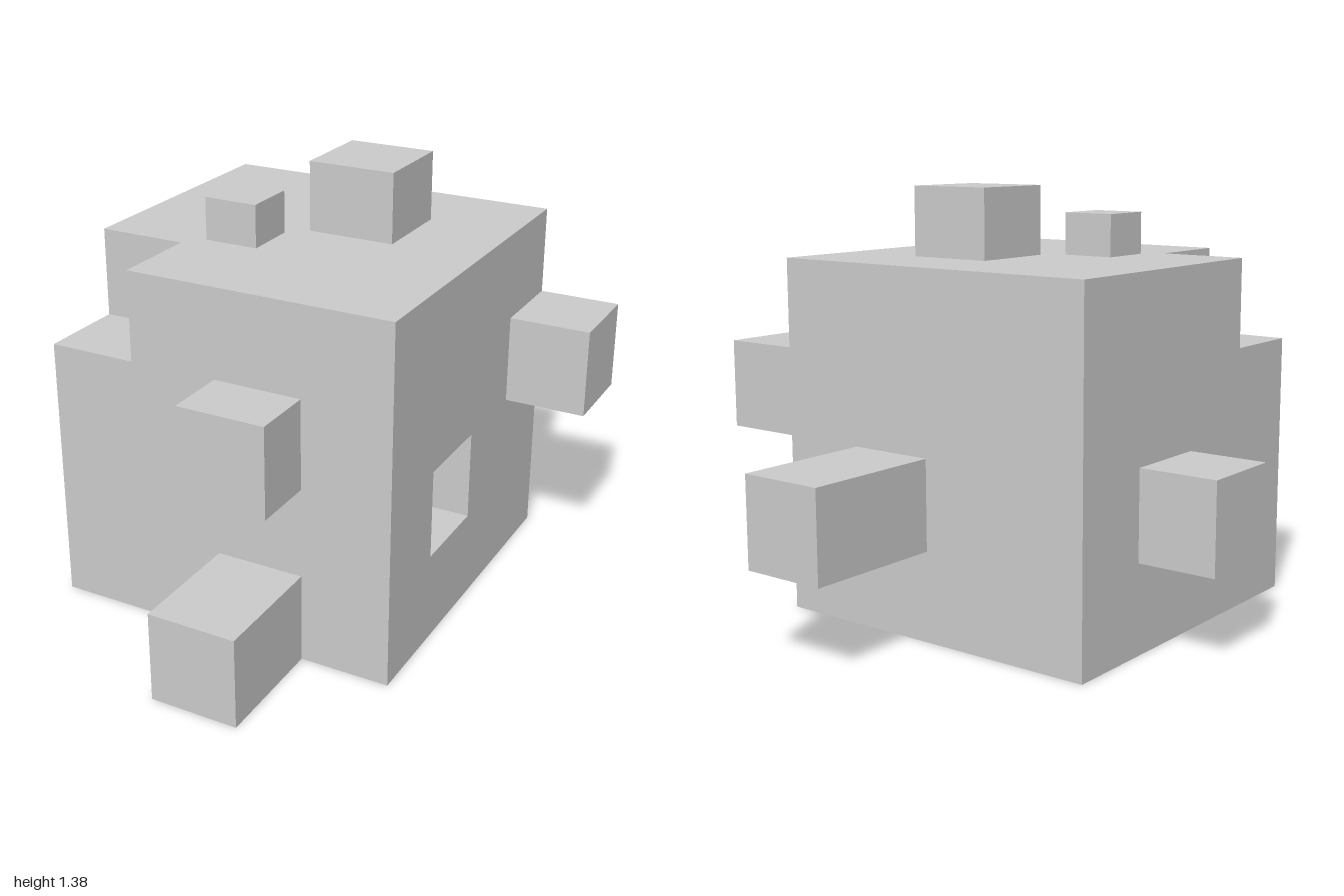
import * as THREE from 'three';
import { mergeGeometries } from 'three/addons/utils/BufferGeometryUtils.js';

const CELL = 0.2888;
const N = 4;
const ORIGIN = [-0.58, 0, -0.54]; // lowest corner of the body

// Cells cut out of the body: the top corner notch and the side pocket
const REMOVED = [[0, 3, 3], [3, 1, 2]];

// Outward direction and the turn that points a +z plane that way
const SIDES = [
  { dir: [1, 0, 0], rx: 0, ry: Math.PI / 2 },
  { dir: [-1, 0, 0], rx: 0, ry: -Math.PI / 2 },
  { dir: [0, 1, 0], rx: -Math.PI / 2, ry: 0 },
  { dir: [0, -1, 0], rx: Math.PI / 2, ry: 0 },
  { dir: [0, 0, 1], rx: 0, ry: 0 },
  { dir: [0, 0, -1], rx: 0, ry: Math.PI },
];

function isSolid(cell) {
  return cell.every((v) => v >= 0 && v < N)
    && !REMOVED.some((r) => r.every((v, k) => v === cell[k]));
}

// Cube of 4 x 4 x 4 cells, keeping only the exposed faces
function bodyGeometry() {
  const faces = [];
  for (let i = 0; i < N; i++) for (let j = 0; j < N; j++) for (let k = 0; k < N; k++) {
    const cell = [i, j, k];
    if (!isSolid(cell)) continue;
    const centre = cell.map((v, a) => ORIGIN[a] + (v + 0.5) * CELL);
    for (const { dir, rx, ry } of SIDES) {
      if (isSolid(cell.map((v, a) => v + dir[a]))) continue;
      faces.push(new THREE.PlaneGeometry(CELL, CELL)
        .translate(0, 0, CELL / 2).rotateX(rx).rotateY(ry).translate(...centre));
    }
  }
  return mergeGeometries(faces);
}

export function createModel() {
  const group = new THREE.Group();
  const material = new THREE.MeshStandardMaterial({ color: 0xcccccc, flatShading: true });

  const add = (name, geometry) => {
    const mesh = new THREE.Mesh(geometry, material);
    mesh.name = name;
    group.add(mesh);
  };

  // Block given by its lowest and highest corners
  const block = (name, lo, hi) => {
    const size = hi.map((v, a) => v - lo[a]);
    const mid = hi.map((v, a) => (v + lo[a]) / 2);
    add(name, new THREE.BoxGeometry(...size).translate(...mid));
  };

  add('body', bodyGeometry());

  // Blocks standing out from each side
  block('topBlock', [0, 1.155, -0.253], [0.286, 1.38, 0.035]);
  block('topSmallBlock', [-0.237, 1.155, 0.09], [-0.06, 1.292, 0.266]);
  block('frontUpperBlock', [0, 0.58, 0.615], [0.286, 0.868, 0.82]);
  block('frontLowerBlock', [0, 0, 0.615], [0.286, 0.29, 1]);
  block('backBlock', [0, 0.29, -1], [0.286, 0.58, -0.54]);
  block('leftBlock', [0.575, 0.58, -0.54], [0.84, 0.868, -0.253]);
  block('rightBlock', [-0.84, 0.29, -0.253], [-0.58, 0.58, 0.035]);

  return group;
}
